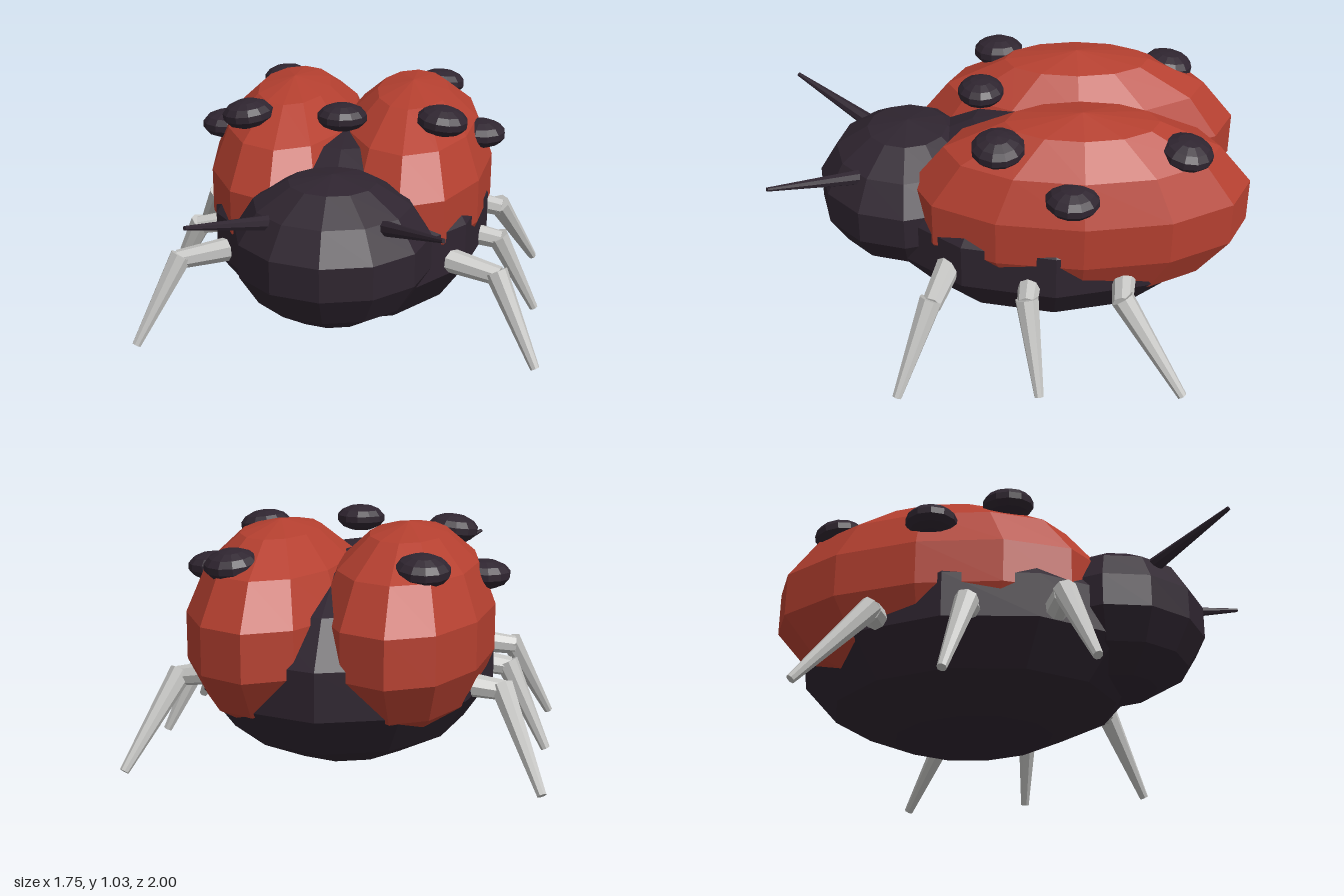
import * as THREE from 'three';

const flat = (name, color) => {
  const m = new THREE.MeshStandardMaterial({ color, flatShading: true });
  m.name = name;
  return m;
};

export function createModel() {
  const model = new THREE.Group();
  model.name = 'beetle';
  const dark = flat('darkShell', 0x2f2530);
  const red = flat('redWing', 0xb54030);
  const grey = flat('greyLeg', 0xc4c4c2);

  // Faceted ellipsoid shared by the body, head, wings and spots
  const ball = new THREE.SphereGeometry(1, 12, 7);
  function ellipsoid(name, mat, pos, radii, parent = model) {
    const mesh = new THREE.Mesh(ball, mat);
    mesh.name = name;
    mesh.position.set(...pos);
    mesh.scale.set(...radii);
    parent.add(mesh);
    return mesh;
  }

  // Tapered rod between two points
  const up = new THREE.Vector3(0, 1, 0);
  function rod(name, mat, a, b, ra, rb, parent = model) {
    const p = new THREE.Vector3(...a), q = new THREE.Vector3(...b);
    const dir = q.clone().sub(p);
    const mesh = new THREE.Mesh(new THREE.CylinderGeometry(rb, ra, dir.length(), 8), mat);
    mesh.name = name;
    mesh.position.copy(p).add(q).multiplyScalar(0.5);
    mesh.quaternion.setFromUnitVectors(up, dir.normalize());
    parent.add(mesh);
  }

  // Body and head
  ellipsoid('body', dark, [0, 0.45, -0.17], [0.64, 0.44, 0.8]);
  ellipsoid('head', dark, [0, 0.52, 0.46], [0.42, 0.32, 0.4]);
  ellipsoid('centreSpot', dark, [0, 0.98, 0.14], [0.108, 0.058, 0.1]);

  // Spots on each wing: position, pitch, roll
  const spots = [
    [[0.42, 0.955, 0.065], 0.05, -0.12],
    [[0.58, 0.81, -0.23], 0, 0],
    [[0.375, 0.905, -0.7], -0.12, -0.05],
  ];
  // Leg z positions: hip, knee, foot
  const legs = { front: [0.26, 0.34, 0.485], middle: [-0.08, -0.05, -0.1], rear: [-0.47, -0.44, -0.69] };

  for (const s of [1, -1]) {
    const side = s > 0 ? 'left' : 'right';

    // Wing case with its spots
    ellipsoid(side + 'Wing', red, [s * 0.27, 0.6, -0.28], [0.372, 0.432, 0.733]);
    for (const [[x, y, z], pitch, roll] of spots)
      ellipsoid(side + 'Spot', dark, [s * x, y, z], [0.112, 0.062, 0.112]).rotation.set(pitch, s * 0.3, s * roll);

    // Antenna
    rod(side + 'Antenna', dark, [s * 0.22, 0.69, 0.64], [s * 0.48, 0.8, 0.995], 0.034, 0.009);

    // Legs of two segments
    for (const [place, [hip, knee, foot]] of Object.entries(legs)) {
      const leg = new THREE.Group();
      leg.name = side + place[0].toUpperCase() + place.slice(1) + 'Leg';
      rod('upperLeg', grey, [s * 0.42, 0.415, hip], [s * 0.69, 0.37, knee], 0.056, 0.042, leg);
      rod('lowerLeg', grey, [s * 0.675, 0.39, knee], [s * 0.855, 0.02, foot], 0.05, 0.02, leg);
      model.add(leg);
    }
  }
  return model;
}
